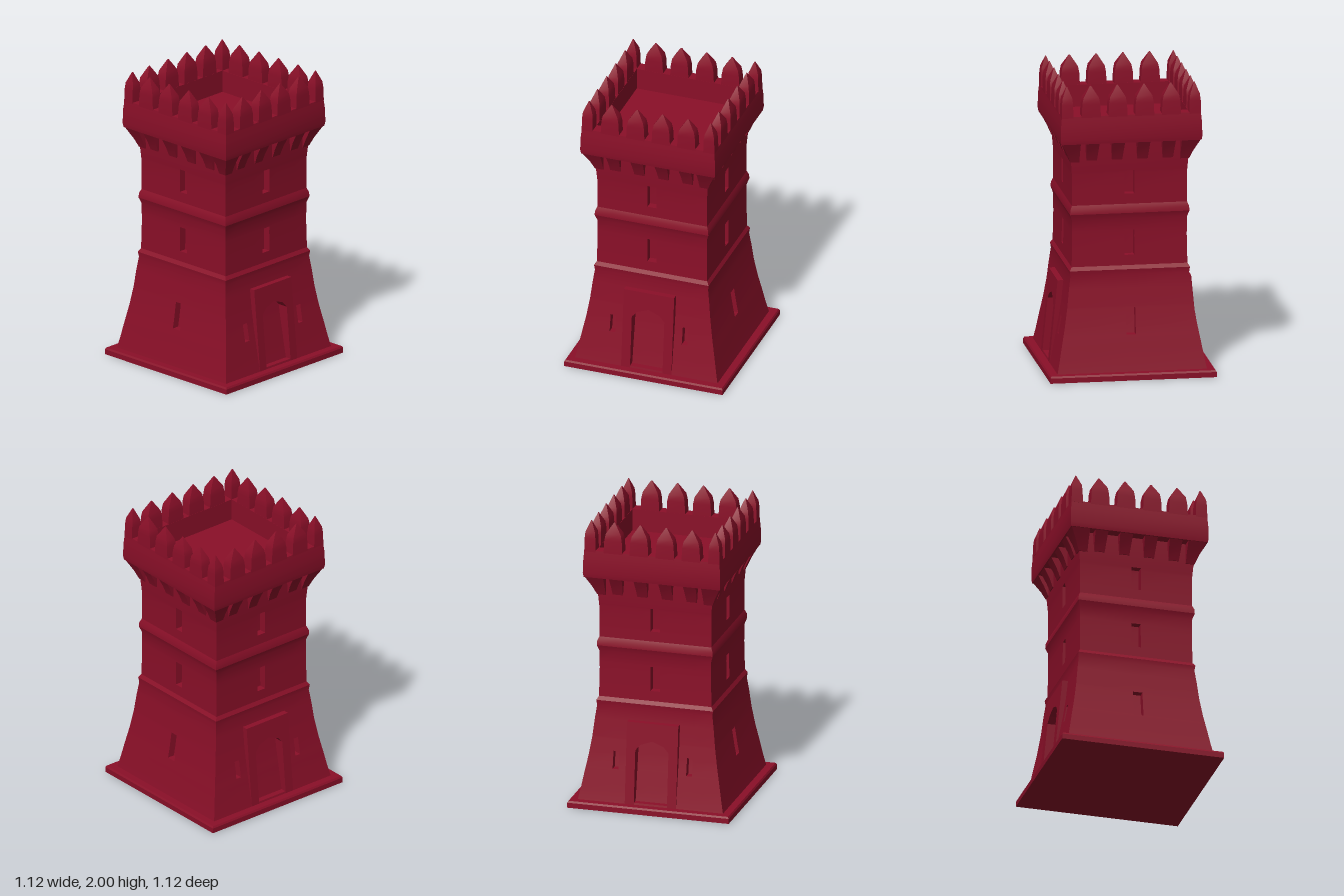
import * as THREE from 'three';
import { toCreasedNormals } from 'three/addons/utils/BufferGeometryUtils.js';

const stone = new THREE.MeshStandardMaterial({ color: 0x8a0f28 });
stone.name = 'crimson stone';

// Half width of the tower body by height, with two string courses
const PROFILE = [
  [0.04, 0.505], [0.12, 0.488], [0.22, 0.47], [0.35, 0.445], [0.48, 0.425], [0.6, 0.412],
  [0.69, 0.4], [0.725, 0.405], [0.75, 0.39], [0.95, 0.386], [1.07, 0.388], [1.11, 0.402],
  [1.14, 0.4], [1.17, 0.388], [1.38, 0.388], [1.48, 0.396], [1.62, 0.4],
];
function halfWidth(y) {
  for (let i = 1; i < PROFILE.length; i++) {
    const [y0, w0] = PROFILE[i - 1], [y1, w1] = PROFILE[i];
    if (y <= y1) return w0 + (w1 - w0) * (y - y0) / (y1 - y0);
  }
  return PROFILE[PROFILE.length - 1][1];
}

function geometryFromQuads(quads, crease) {
  const pos = [];
  for (const [a, b, c, d] of quads) pos.push(...a, ...b, ...c, ...a, ...c, ...d);
  const geo = new THREE.BufferGeometry();
  geo.setAttribute('position', new THREE.Float32BufferAttribute(pos, 3));
  return toCreasedNormals(geo, crease);
}

// Solid through stacked rectangles [y, x0, x1, z0, z1]
function loft(layers) {
  const rings = layers.map(([y, x0, x1, z0, z1]) =>
    [[x0, y, z1], [x1, y, z1], [x1, y, z0], [x0, y, z0]]);
  const quads = [[...rings[0]].reverse(), rings[rings.length - 1]];
  for (let i = 1; i < rings.length; i++) {
    for (let k = 0; k < 4; k++) {
      const n = (k + 1) % 4;
      quads.push([rings[i - 1][k], rings[i - 1][n], rings[i][n], rings[i][k]]);
    }
  }
  return geometryFromQuads(quads, 0.5);
}

// One battered wall with recessed openings {x, w, y0, y1, depth}
function wallGeometry(openings) {
  const unique = (list) => [...new Set(list)].sort((a, b) => a - b);
  const ys = unique([...PROFILE.map((p) => p[0]), ...openings.flatMap((o) => [o.y0, o.y1])]);
  const xs = unique([-1, 1, ...openings.flatMap((o) => [o.x - o.w / 2, o.x + o.w / 2])]);
  const point = (i, j, d) => {
    const h = halfWidth(ys[j]);
    return [Math.abs(xs[i]) === 1 ? xs[i] * h : xs[i], ys[j], h - d];
  };
  const depthAt = (i, j) => {
    if (i < 0 || j < 0 || i >= xs.length - 1 || j >= ys.length - 1) return 0;
    const cx = (xs[i] + xs[i + 1]) / 2, cy = (ys[j] + ys[j + 1]) / 2;
    const o = openings.find((w) => Math.abs(cx - w.x) < w.w / 2 && cy > w.y0 && cy < w.y1);
    return o ? o.depth : 0;
  };
  const quads = [];
  for (let i = 0; i < xs.length - 1; i++) {
    for (let j = 0; j < ys.length - 1; j++) {
      const d = depthAt(i, j);
      const P = (a, b, depth) => point(i + a, j + b, depth);
      quads.push([P(0, 0, d), P(1, 0, d), P(1, 1, d), P(0, 1, d)]);
      if (!d) continue;
      // jambs, sill and lintel
      if (!depthAt(i - 1, j)) quads.push([P(0, 0, 0), P(0, 0, d), P(0, 1, d), P(0, 1, 0)]);
      if (!depthAt(i + 1, j)) quads.push([P(1, 0, d), P(1, 0, 0), P(1, 1, 0), P(1, 1, d)]);
      if (!depthAt(i, j - 1)) quads.push([P(0, 0, 0), P(1, 0, 0), P(1, 0, d), P(0, 0, d)]);
      if (!depthAt(i, j + 1)) quads.push([P(0, 1, d), P(1, 1, d), P(1, 1, 0), P(0, 1, 0)]);
    }
  }
  return geometryFromQuads(quads, 0.35);
}

// Door surround leaning with the wall, with an arched opening
function doorFrameGeometry() {
  const shape = new THREE.Shape([
    [-0.178, 0.04], [-0.115, 0.04], [-0.115, 0.42], [-0.08, 0.46], [0, 0.49], [0.08, 0.46],
    [0.115, 0.42], [0.115, 0.04], [0.178, 0.04], [0.178, 0.61], [-0.178, 0.61],
  ].map(([x, y]) => new THREE.Vector2(x, y)));
  const geo = new THREE.ExtrudeGeometry(shape, { depth: 1, bevelEnabled: false });
  const p = geo.attributes.position;
  for (let i = 0; i < p.count; i++) {
    const t = (p.getY(i) - 0.04) / 0.57;
    const outer = 0.505 - 0.055 * t;
    p.setZ(i, p.getZ(i) > 0.5 ? outer : outer - 0.08);
  }
  return toCreasedNormals(geo, 0.4);
}

export function createModel() {
  const model = new THREE.Group();
  const add = (name, geo, parent = model) => {
    const mesh = new THREE.Mesh(geo, stone);
    mesh.name = name;
    parent.add(mesh);
    return mesh;
  };

  add('basePlinth', loft([[0, -0.56, 0.56, -0.56, 0.56], [0.035, -0.56, 0.56, -0.56, 0.56],
    [0.047, -0.553, 0.553, -0.553, 0.553]]));

  // Openings
  const slit = (x, y0, y1, w = 0.065) => ({ x, w, y0, y1, depth: 0.05 });
  const upper = [slit(0, 0.82, 0.99), slit(0, 1.24, 1.4)];
  const plainWall = wallGeometry([...upper, slit(0, 0.29, 0.47)]);
  const doorWall = wallGeometry([...upper, slit(0.255, 0.27, 0.39, 0.04),
    slit(-0.255, 0.27, 0.39, 0.04), { x: 0, w: 0.23, y0: 0.06, y1: 0.47, depth: 0.04 }]);
  const doorFrame = doorFrameGeometry();

  // Merlon with tapering shoulders and a pointed cap
  const merlon = (half) => loft([[1.79, 1, 1], [1.88, 0.93, 0.96], [1.925, 0.8, 0.85], [2, 0.06, 0.06]]
    .map(([y, a, b]) => [y, -half * a, half * a, -0.039 * b, 0.039 * b]));
  const wideMerlon = merlon(0.065);
  const cornerMerlon = merlon(0.04);

  // Corbels under the parapet
  const corbel = loft([[1.48, -0.035, 0.035, 0.36, 0.402], [1.54, -0.04, 0.04, 0.36, 0.425],
    [1.62, -0.045, 0.045, 0.36, 0.468]]);
  const cornerCorbel = loft([[1.47, 0.34, 0.4, 0.34, 0.4], [1.53, 0.34, 0.425, 0.34, 0.425],
    [1.62, 0.34, 0.472, 0.34, 0.472]]);

  // Four matching sides; doors face left and right
  ['front', 'left', 'back', 'right'].forEach((side, k) => {
    const group = new THREE.Group();
    group.name = side + 'Side';
    group.rotation.y = k * Math.PI / 2;
    model.add(group);
    add('wall', k % 2 ? doorWall : plainWall, group);
    if (k % 2) add('doorFrame', doorFrame, group);
    for (const x of [-0.27, -0.09, 0.09, 0.27]) {
      add('merlon', wideMerlon, group).position.set(x, 0, 0.43);
      add('corbel', corbel, group).position.x = x * 0.95;
    }
    add('cornerMerlon', cornerMerlon, group).position.set(0.43, 0, 0.43);
    add('cornerCorbel', cornerCorbel, group);
    // Parapet side, mitred at the corners
    const section = [[0.39, 1.61], [0.472, 1.61], [0.477, 1.64], [0.474, 1.74], [0.468, 1.8], [0.39, 1.8]];
    const quads = section.map(([z0, y0], i) => {
      const [z1, y1] = section[(i + 1) % section.length];
      return [[-z0, y0, z0], [z0, y0, z0], [z1, y1, z1], [-z1, y1, z1]];
    });
    add('parapet', geometryFromQuads(quads, 0.4), group);
  });

  // Sunken roof deck
  add('roofDeck', loft([[1.6, -0.395, 0.395, -0.395, 0.395], [1.65, -0.395, 0.395, -0.395, 0.395]]));
  return model;
}
